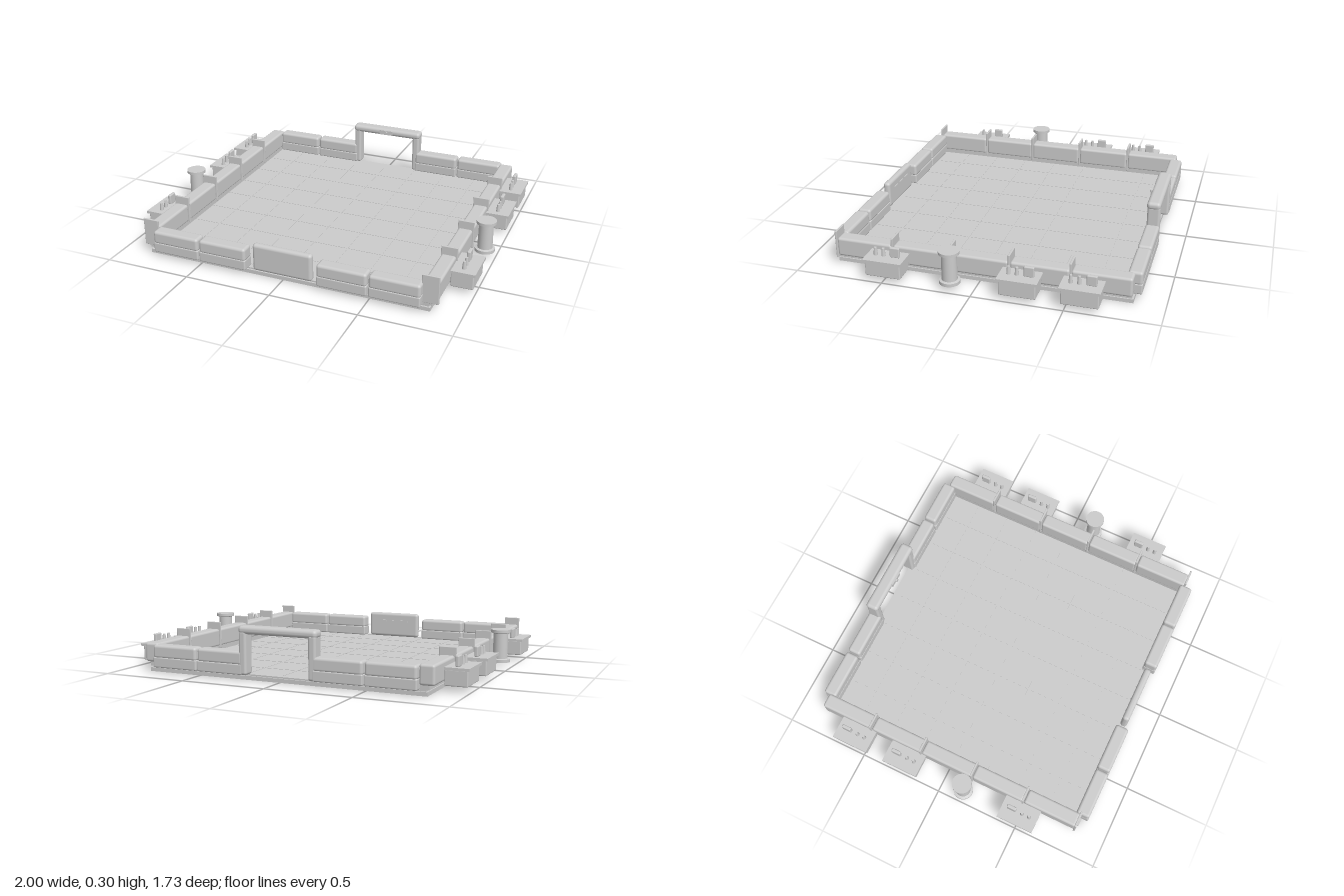
import * as THREE from 'three';
import { RoundedBoxGeometry } from 'three/addons/geometries/RoundedBoxGeometry.js';

const grey = new THREE.MeshStandardMaterial({ color: 0xcccccc });

export function createModel() {
  const model = new THREE.Group();

  const add = (name, geometry, parent = model) => {
    const mesh = new THREE.Mesh(geometry, grey);
    mesh.name = name;
    parent.add(mesh);
    return mesh;
  };

  // Box given by its limits on each axis; a radius rounds its edges
  const box = (name, [x0, x1], [y0, y1], [z0, z1], radius = 0, parent = model) => {
    const size = [x1 - x0, y1 - y0, z1 - z0];
    const geometry = radius
      ? new RoundedBoxGeometry(...size, 3, radius)
      : new THREE.BoxGeometry(...size);
    const mesh = add(name, geometry, parent);
    mesh.position.set((x0 + x1) / 2, (y0 + y1) / 2, (z0 + z1) / 2);
    return mesh;
  };

  // Base slab and floor
  box('baseSlab', [-0.83, 0.83], [0, 0.022], [-0.83, 0.83]);
  box('floor', [-0.82, 0.82], [0.022, 0.03], [-0.82, 0.82]);

  // Floor seams, eight tiles across
  const pitch = 0.207;
  for (let i = -3; i <= 3; i++) {
    const c = i * pitch;
    box('floorSeamLengthwise', [c - 0.003, c + 0.003], [0.029, 0.032], [-0.785, 0.785]);
    box('floorSeamCrosswise', [-0.785, 0.785], [0.029, 0.032], [c - 0.003, c + 0.003]);
  }

  // Front and back walls: two stacked courses per segment
  for (const end of [-1, 1]) {
    for (const side of [-1, 1]) {
      for (const [a, b] of [[0.21, 0.494], [0.504, 0.786]]) {
        const x = side > 0 ? [a, b] : [-b, -a];
        const z = end > 0 ? [0.787, 0.867] : [-0.867, -0.787];
        box('endWallLower', x, [0.03, 0.09], z, 0.008);
        box('endWallUpper', x, [0.082, 0.158], z, 0.016);
      }
    }
  }

  // Front panel with three small slots on its inner face
  box('frontPanel', [-0.175, 0.175], [0.03, 0.19], [0.803, 0.845], 0.018);
  for (const x of [-0.08, 0, 0.08]) {
    box('panelSlot', [x - 0.026, x + 0.026], [0.13, 0.142], [0.797, 0.806]);
  }

  // Back gateway arch
  for (const side of [-1, 1]) {
    const x = side > 0 ? [0.185, 0.23] : [-0.23, -0.185];
    box('archPost', x, [0.03, 0.27], [-0.866, -0.792], 0.014);
  }
  box('archBeam', [-0.234, 0.234], [0.252, 0.297], [-0.867, -0.788], 0.02);
  box('archPlate', [-0.045, 0.045], [0.26, 0.289], [-0.792, -0.782]);
  const lamp = add('archLamp', new THREE.CylinderGeometry(0.011, 0.011, 0.014, 16));
  lamp.rotation.x = Math.PI / 2;
  lamp.position.set(0, 0.274, -0.78);

  // Rolled post: wide foot, slim column, wide cap
  const postProfile = [
    [0, 0.03], [0.057, 0.03], [0.057, 0.048], [0.043, 0.052],
    [0.041, 0.197], [0.057, 0.203], [0.057, 0.22], [0, 0.22],
  ].map(([r, y]) => new THREE.Vector2(r, y));
  // Doubled points keep the profile's edges crisp
  const crisp = postProfile.flatMap((p, i) =>
    i && i < postProfile.length - 1 ? [p, p.clone()] : [p]);

  for (const side of [-1, 1]) {
    const name = side > 0 ? 'left' : 'right';
    const span = (a, b) => (side > 0 ? [a, b] : [-b, -a]);

    // Side wall: plinth, five segments and a raised fin after each
    box(name + 'Plinth', span(0.785, 0.836), [0.03, 0.06], [-0.82, 0.82]);
    for (let i = 0; i < 5; i++) {
      const z0 = -0.828 + i * 0.33;
      box(name + 'WallSegment', span(0.782, 0.866), [0.052, 0.16], [z0, z0 + 0.322], 0.014);
      box(name + 'Fin', span(0.778, 0.872), [0.042, 0.203], [z0 + 0.318, z0 + 0.33], 0.003);
    }

    // Side boxes with a lid, a slab and two pegs on top
    for (const z of [-0.58, -0.25, 0.495]) {
      const stand = new THREE.Group();
      stand.name = name + 'SideBox';
      stand.position.z = z;
      model.add(stand);
      box('boxBody', span(0.865, 0.99), [0.03, 0.115], [-0.1, 0.1], 0.006, stand);
      box('boxLid', span(0.865, 1), [0.113, 0.128], [-0.11, 0.11], 0, stand);
      box('uprightSlab', span(0.915, 0.935), [0.126, 0.185], [-0.078, -0.022], 0.006, stand);
      for (const dz of [0.016, 0.061]) {
        const peg = add('peg', new THREE.CylinderGeometry(0.008, 0.012, 0.046, 16), stand);
        peg.position.set(side * 0.926, 0.149, dz);
      }
    }

    const post = add(name + 'Post', new THREE.LatheGeometry(crisp, 32));
    post.position.set(side * 0.934, 0, 0.134);
  }

  return model;
}
